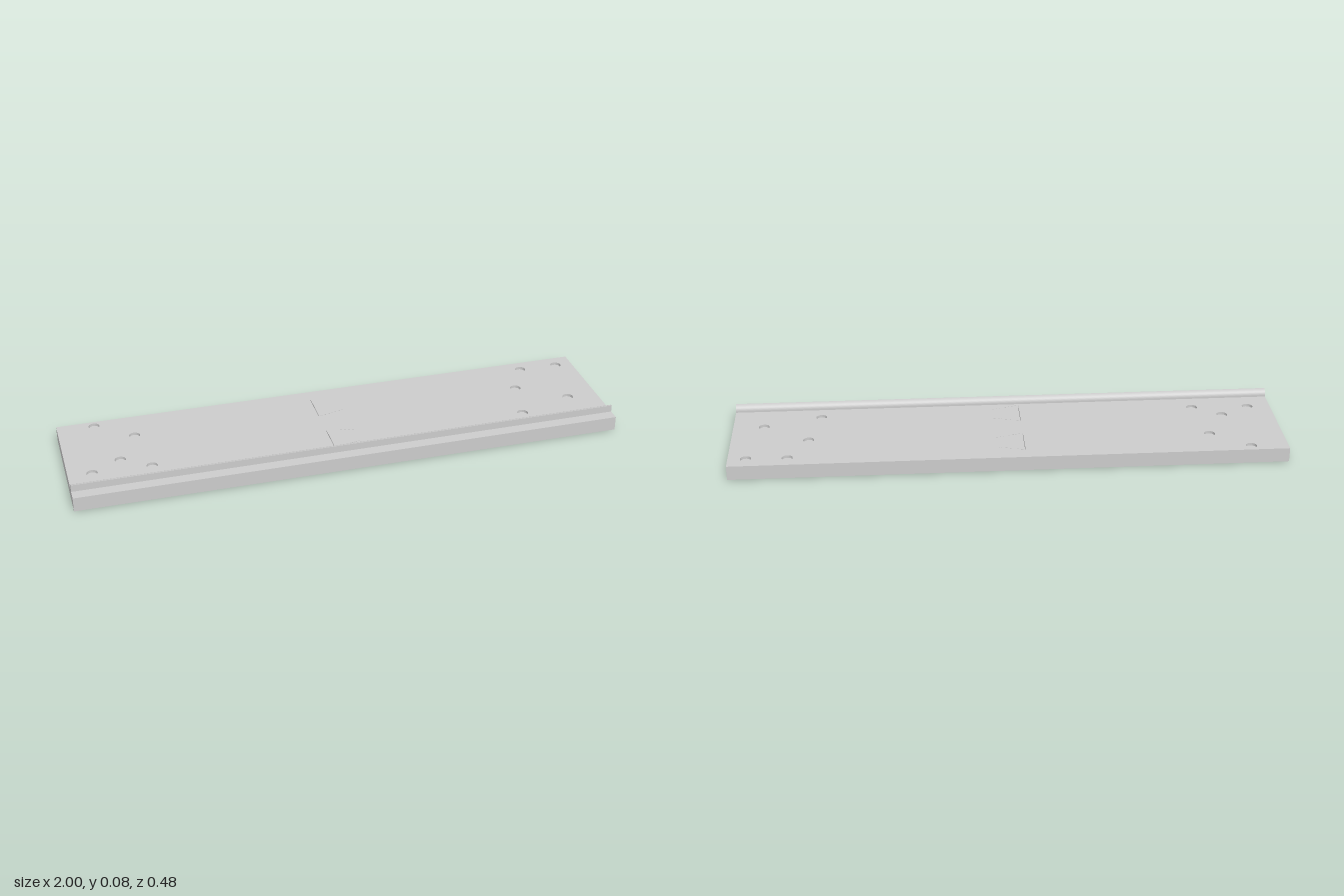
import * as THREE from 'three';

const HALF_X = 1, HALF_Z = 0.24;
const CEILING = 0.035, DIMPLE_FLOOR = 0.043, TOP = 0.053;
const material = new THREE.MeshStandardMaterial({ color: 0xcccccc });

// Closed outline from [x, z] points on the ground plane
const outline = (points) => new THREE.Path(points.map(([x, z]) => new THREE.Vector2(x, -z)));

// Horizontal slab between two heights, cut by holes
function slab(name, y0, y1, holes) {
  const shape = new THREE.Shape(
    [[-HALF_X, -HALF_Z], [HALF_X, -HALF_Z], [HALF_X, HALF_Z], [-HALF_X, HALF_Z]]
      .map(([x, z]) => new THREE.Vector2(x, z)));
  shape.holes.push(...holes);
  const geometry = new THREE.ExtrudeGeometry(shape, { depth: y1 - y0, bevelEnabled: false, curveSegments: 10 });
  geometry.rotateX(-Math.PI / 2).translate(0, y0, 0);
  const mesh = new THREE.Mesh(geometry, material);
  mesh.name = name;
  return mesh;
}

// Four triangular pockets left between the crossed ribs of one bay
function bayPockets(x0, x1) {
  const cx = (x0 + x1) / 2, hx = (x1 - x0) / 2, hz = 0.22, ribHalf = 0.015;
  const slope = hz / hx, diagonal = Math.hypot(hx, hz);
  const apexX = ribHalf * diagonal / hz, apexZ = ribHalf * diagonal / hx;
  const reachX = (hz - apexZ) / slope, reachZ = slope * (hx - apexX);
  return [1, -1].flatMap((s) => [
    outline([[cx, s * apexZ], [cx + reachX, s * hz], [cx - reachX, s * hz]]),
    outline([[cx + s * apexX, 0], [cx + s * hx, reachZ], [cx + s * hx, -reachZ]]),
  ]);
}

// Narrow slit between two ground points
function slit(ax, az, bx, bz, width = 0.002) {
  const length = Math.hypot(bx - ax, bz - az);
  const nx = -(bz - az) / length * width / 2, nz = (bx - ax) / length * width / 2;
  return outline([[ax + nx, az + nz], [bx + nx, bz + nz], [bx - nx, bz - nz], [ax - nx, az - nz]]);
}

// Trapezoid marking: one full slit and two dashed slanting sides
function trapezoidSlits(cz) {
  const slits = [slit(-0.055, cz - 0.061, -0.055, cz + 0.061)];
  const dashes = 7;
  for (const side of [-1, 1]) {
    for (let i = 0; i < dashes; i++) {
      const point = (t) => [-0.048 + 0.098 * t, cz + side * (0.061 - 0.026 * t)];
      slits.push(slit(...point(i / dashes), ...point((i + 0.55) / dashes)));
    }
  }
  return slits;
}

// Shallow round dimple
function dimple([x, z]) {
  return new THREE.Path().absarc(x, -z, 0.02, 0, Math.PI * 2, true);
}

// Quarter-round lip running the full length
function createRail() {
  const r = 0.021, back = 0.177, shoulder = 0.058;
  const profile = new THREE.Shape();
  // drawn in (-z, y)
  profile.moveTo(-back - r, TOP - 0.002);
  profile.lineTo(-back, TOP - 0.002);
  profile.lineTo(-back, shoulder);
  profile.absarc(-back - r, shoulder, r, 0, Math.PI / 2, false);
  profile.closePath();
  const geometry = new THREE.ExtrudeGeometry(profile, { depth: HALF_X * 2, bevelEnabled: false, curveSegments: 16 });
  geometry.translate(0, 0, -HALF_X).rotateY(Math.PI / 2);
  const mesh = new THREE.Mesh(geometry, material);
  mesh.name = 'rail';
  return mesh;
}

export function createModel() {
  const model = new THREE.Group();
  model.name = 'railedPlank';

  const slits = [...trapezoidSlits(-0.122), ...trapezoidSlits(0.104)];
  const pockets = [...bayPockets(0.135, 0.98), ...bayPockets(-0.98, -0.12)];
  const dimples = [
    [0.936, -0.187], [0.79, -0.19], [0.72, -0.06], [0.887, 0.053], [0.68, 0.117],
    [-0.866, -0.21], [-0.733, -0.108], [-0.807, 0.04], [-0.915, 0.1], [-0.705, 0.107],
  ].map(dimple);

  model.add(
    slab('ribbedUnderside', 0, CEILING, [...pockets, ...slits]),
    slab('core', CEILING, DIMPLE_FLOOR, slits),
    slab('topSkin', DIMPLE_FLOOR, TOP, [...dimples, ...slits]),
    createRail(),
  );
  return model;
}
